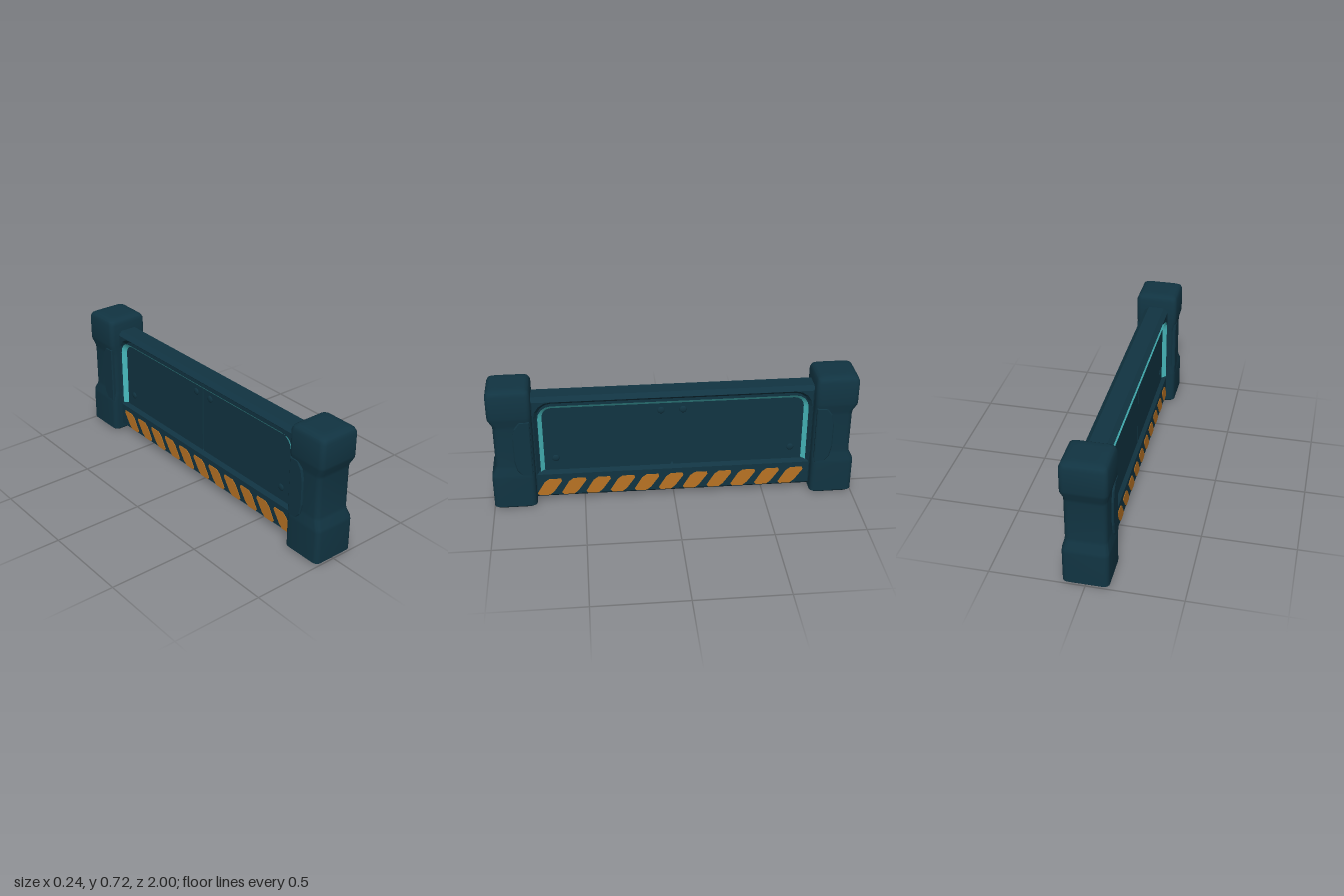
import * as THREE from 'three';
import { toCreasedNormals } from 'three/addons/utils/BufferGeometryUtils.js';

const mat = (name, color, side = THREE.FrontSide) => {
  const m = new THREE.MeshStandardMaterial({ color, side });
  m.name = name;
  return m;
};

// Extrude a side-profile shape (z, y) along x, centred on x = 0
function extrudeX(shape, depth, bevel = 0, bevelDepth = 0) {
  const g = new THREE.ExtrudeGeometry(shape, {
    depth, curveSegments: 4, bevelEnabled: bevel > 0,
    bevelSize: bevel, bevelOffset: -bevel, bevelThickness: bevelDepth, bevelSegments: 1,
  });
  g.translate(0, 0, -depth / 2);
  g.rotateY(-Math.PI / 2);
  return g;
}

const shapeOf = (pts) => new THREE.Shape(pts.map(([z, y]) => new THREE.Vector2(z, y)));

// Arch outline (z, y): two uprights joined by rounded corners; inset narrows it
function archPoints(inset) {
  const pts = [[0.735 - inset, 0.2]];
  const r = 0.075 - inset;
  for (let i = 0; i <= 4; i++) {
    const a = (i / 4) * Math.PI / 2;
    pts.push([0.66 + r * Math.cos(a), 0.53 + r * Math.sin(a)]);
  }
  return pts.concat(pts.map(([z, y]) => [-z, y]).reverse());
}

// Post: rounded rectangles lofted upward, with a waist on the outer sides
function postGeometry() {
  const rings = [ // y, half width, outer z, inset
    [0, 0.12, 1, 0.06], [0, 0.12, 1, 0.012], [0.012, 0.12, 1, 0], [0.19, 0.12, 1, 0],
    [0.21, 0.119, 0.998, 0], [0.25, 0.109, 0.978, 0], [0.27, 0.108, 0.975, 0],
    [0.49, 0.108, 0.975, 0], [0.51, 0.109, 0.978, 0], [0.55, 0.119, 0.998, 0],
    [0.565, 0.12, 1, 0], [0.69, 0.12, 1, 0], [0.71, 0.12, 1, 0.008],
    [0.72, 0.12, 1, 0.025], [0.72, 0.12, 1, 0.06],
  ];
  const pos = [], index = [], per = 20;
  for (const [y, hx, zo, inset] of rings) {
    const zi = 0.765 + inset, z1 = zo - inset, w = hx - inset, r = 0.028;
    for (let c = 0; c < 4; c++) {
      const cx = (c === 0 || c === 3 ? 1 : -1) * (w - r);
      const cz = c < 2 ? z1 - r : zi + r;
      for (let k = 0; k < 5; k++) {
        const a = (c + k / 4) * Math.PI / 2;
        pos.push(cx + r * Math.cos(a), y, cz + r * Math.sin(a));
      }
    }
  }
  for (let j = 0; j < rings.length - 1; j++) {
    for (let i = 0; i < per; i++) {
      const a = j * per + i, b = j * per + (i + 1) % per;
      index.push(a, a + per, b, b, a + per, b + per);
    }
  }
  // End caps
  const last = (rings.length - 1) * per;
  for (let i = 1; i < per - 1; i++) {
    index.push(0, i, i + 1, last, last + i + 1, last + i);
  }
  const g = new THREE.BufferGeometry();
  g.setAttribute('position', new THREE.Float32BufferAttribute(pos, 3));
  g.setIndex(index);
  return toCreasedNormals(g, 0.7);
}

// Sloped strip between the outer and inner arch
function archStripGeometry() {
  const outer = archPoints(0), inner = archPoints(0.023);
  const pos = [], index = [];
  outer.forEach(([z, y], i) => {
    pos.push(0.0725, y, z, 0.0495, inner[i][1], inner[i][0]);
    if (i) {
      const a = 2 * i - 2;
      index.push(a, a + 1, a + 2, a + 1, a + 3, a + 2);
    }
  });
  const g = new THREE.BufferGeometry();
  g.setAttribute('position', new THREE.Float32BufferAttribute(pos, 3));
  g.setIndex(index);
  return toCreasedNormals(g, 0.6);
}

export function createModel() {
  const group = new THREE.Group();
  group.name = 'barrier';
  const navy = mat('dark blue metal', 0x113442);
  const teal = mat('teal glow', 0x48bcc0, THREE.DoubleSide);
  const orange = mat('hazard orange', 0xb87324);

  const add = (parent, name, geometry, material) => {
    const m = new THREE.Mesh(geometry, material);
    m.name = name;
    parent.add(m);
    return m;
  };

  // Wall frame with a bevelled window on both faces
  const frame = shapeOf([[0.78, 0.024], [0.78, 0.65], [-0.78, 0.65], [-0.78, 0.024]]);
  frame.holes.push(new THREE.Path(archPoints(0).map(([z, y]) => new THREE.Vector2(z, y))));
  add(group, 'wallFrame', extrudeX(frame, 0.09, 0.022, 0.025), navy);

  // Two inset panels with a seam between them
  for (const s of [1, -1]) {
    const panel = add(group, 'insetPanel', new THREE.BoxGeometry(0.1, 0.44, 0.735), navy);
    panel.position.set(0, 0.4, 0.01 + s * 0.3725);
  }
  add(group, 'seamCore', new THREE.BoxGeometry(0.07, 0.44, 0.03), navy).position.set(0, 0.4, 0.01);

  // Details repeated on both faces of the wall
  const stripe = extrudeX(shapeOf([[0.072, 0.058], [0.062, 0.046], [0.004, 0.046], [-0.02, 0.066],
    [-0.066, 0.132], [-0.062, 0.147], [0.004, 0.147], [0.03, 0.128]]), 0.006);
  const bolt = new THREE.SphereGeometry(0.02, 12, 8);
  const strip = archStripGeometry();
  for (const s of [1, -1]) {
    const face = new THREE.Group();
    face.name = s > 0 ? 'leftFace' : 'rightFace';
    group.add(face);
    const arch = add(face, 'glowStrip', strip, teal);
    if (s < 0) arch.rotation.y = Math.PI;
    for (let i = 0; i < 11; i++) {
      add(face, 'hazardStripe', stripe, orange).position.set(s * 0.07, 0, 0.69 - i * 0.135);
    }
    for (const [z, y] of [[0.07, 0.54], [-0.05, 0.54], [0.65, 0.27], [-0.65, 0.27]]) {
      const b = add(face, 'panelBolt', bolt, navy);
      b.position.set(s * 0.05, y, z);
      b.scale.x = 0.35;
    }
  }

  // End posts, each with a side pad filling the inner part of the waist
  const post = postGeometry();
  const pad = extrudeX(shapeOf([[0.775, 0.2], [0.83, 0.2], [0.86, 0.24], [0.873, 0.3],
    [0.873, 0.44], [0.86, 0.5], [0.83, 0.54], [0.775, 0.54]]), 0.228, 0.006, 0.005);
  for (const s of [1, -1]) {
    const end = new THREE.Group();
    end.name = s > 0 ? 'frontPost' : 'backPost';
    if (s < 0) end.rotation.y = Math.PI;
    add(end, 'postBody', post, navy);
    add(end, 'postPad', pad, navy);
    group.add(end);
  }
  return group;
}
